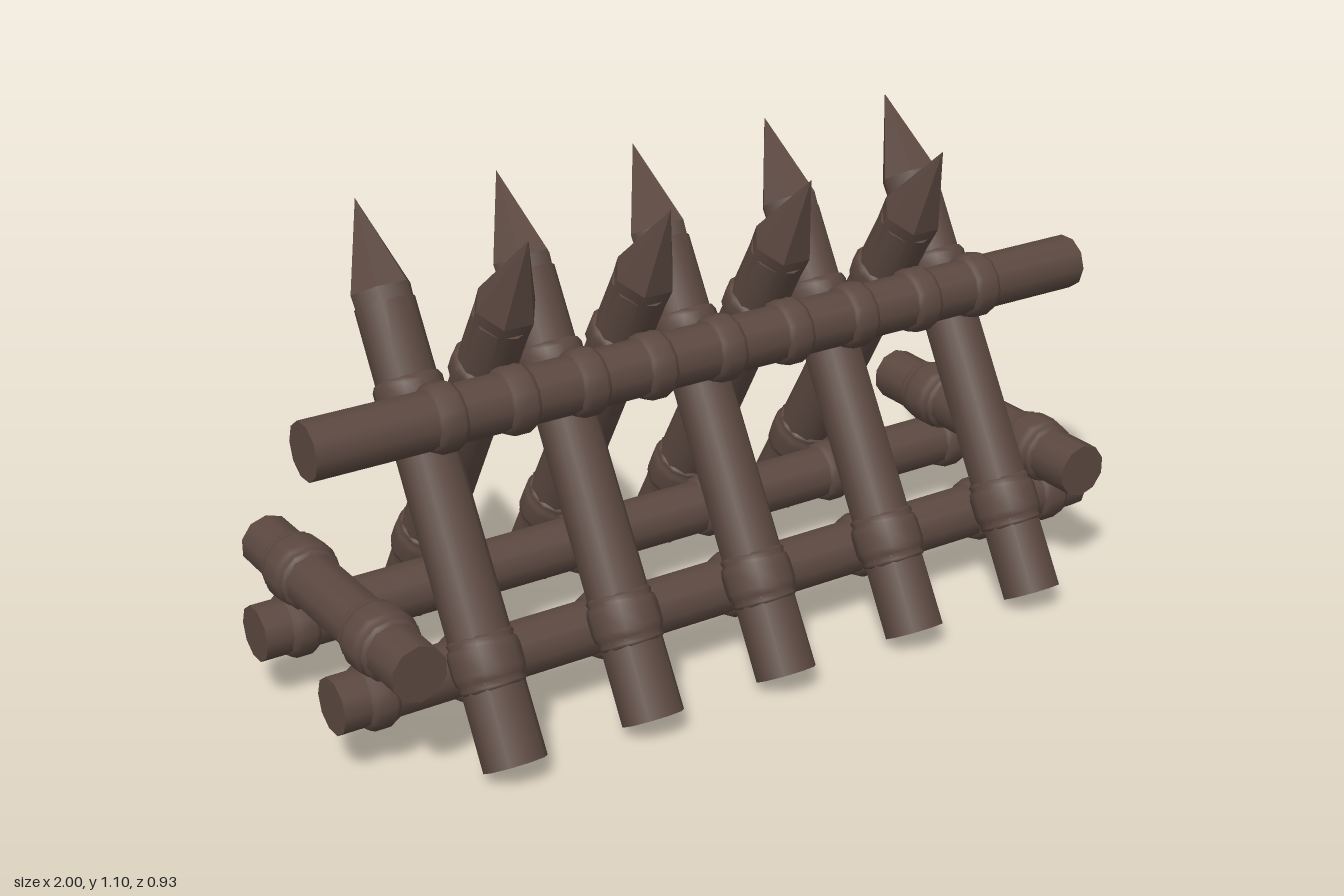
import * as THREE from 'three';

export function createModel() {
  const root = new THREE.Group();
  root.name = 'spikedBarricade';
  const wood = new THREE.MeshStandardMaterial({ color: 0x5b4840 });
  wood.name = 'dark brown wood';

  const add = (parent, name, geometry) => {
    const mesh = new THREE.Mesh(geometry, wood);
    mesh.name = name;
    parent.add(mesh);
    return mesh;
  };

  // Lashing around a log along local y; a wide one has a raised middle coil
  const lashing = (parent, name, y, wide) => {
    const half = wide ? 0.062 : 0.034;
    const pts = wide
      ? [[0.06, -half], [0.07, -half + 0.006], [0.073, -0.05], [0.07, -0.041], [0.076, -0.035],
        [0.079, -0.02], [0.079, 0.02], [0.076, 0.035], [0.07, 0.041], [0.073, 0.05],
        [0.07, half - 0.006], [0.06, half]]
      : [[0.06, -half], [0.07, -half + 0.004], [0.076, -0.018], [0.076, 0.018],
        [0.07, half - 0.004], [0.06, half]];
    const geometry = new THREE.LatheGeometry(pts.map(p => new THREE.Vector2(p[0], p[1])), 12);
    add(parent, name, geometry).position.y = y;
  };

  // Leaning sharpened stake, side +1 stands at the front and leans back
  const stake = (name, x, side) => {
    const g = new THREE.Group();
    g.name = name;
    g.position.set(x, 0.037, 0.403 * side);
    g.rotation.x = -0.527 * side;
    add(g, 'stakeShaft', new THREE.CylinderGeometry(0.066, 0.07, 1.0, 10)).position.y = 0.5;

    // Faceted six-sided point with a short collar below its shoulder
    const collar = new THREE.CylinderGeometry(0.07, 0.064, 0.12, 6, 1, true, Math.PI / 6);
    add(g, 'stakeShoulder', collar.toNonIndexed()).position.y = 0.97;
    const tip = new THREE.ConeGeometry(0.07, 0.2, 6, 1, true, Math.PI / 6).toNonIndexed();
    tip.computeVertexNormals();
    add(g, 'stakePoint', tip).position.y = 1.13;

    lashing(g, 'lowerLashing', 0.222, true);
    lashing(g, 'upperLashing', side > 0 ? 0.805 : 0.83, false);
    root.add(g);
  };

  const frontX = [-0.69, -0.35, 0, 0.36, 0.71];
  const backX = [-0.52, -0.18, 0.18, 0.54];
  frontX.forEach(x => stake('frontStake', x, 1));
  backX.forEach(x => stake('backStake', x, -1));

  // Long rails, with a lashing where they meet stakes and cross logs
  const rail = (name, y, z, wraps) => {
    const g = new THREE.Group();
    g.name = name;
    g.position.set(0, y, z);
    g.rotation.z = -Math.PI / 2;
    add(g, 'railLog', new THREE.CylinderGeometry(0.064, 0.064, 2, 10));
    wraps.forEach(x => lashing(g, 'railLashing', x, false));
    root.add(g);
  };
  rail('topRail', 0.725, 0.133, [...frontX, ...backX]);
  rail('frontBottomRail', 0.172, 0.192, [-0.905, ...frontX, 0.905]);
  rail('backBottomRail', 0.172, -0.182, [-0.905, ...backX, 0.905]);

  // Cross logs resting on the bottom rails at both ends
  for (const side of [-1, 1]) {
    const g = new THREE.Group();
    g.name = side > 0 ? 'leftCrossLog' : 'rightCrossLog';
    g.position.set(0.882 * side, 0.292, 0.005);
    g.rotation.x = Math.PI / 2;
    add(g, 'crossLogShaft', new THREE.CylinderGeometry(0.064, 0.064, 0.72, 10));
    lashing(g, 'frontLashing', 0.187, true);
    lashing(g, 'backLashing', -0.19, true);
    root.add(g);
  }
  return root;
}
